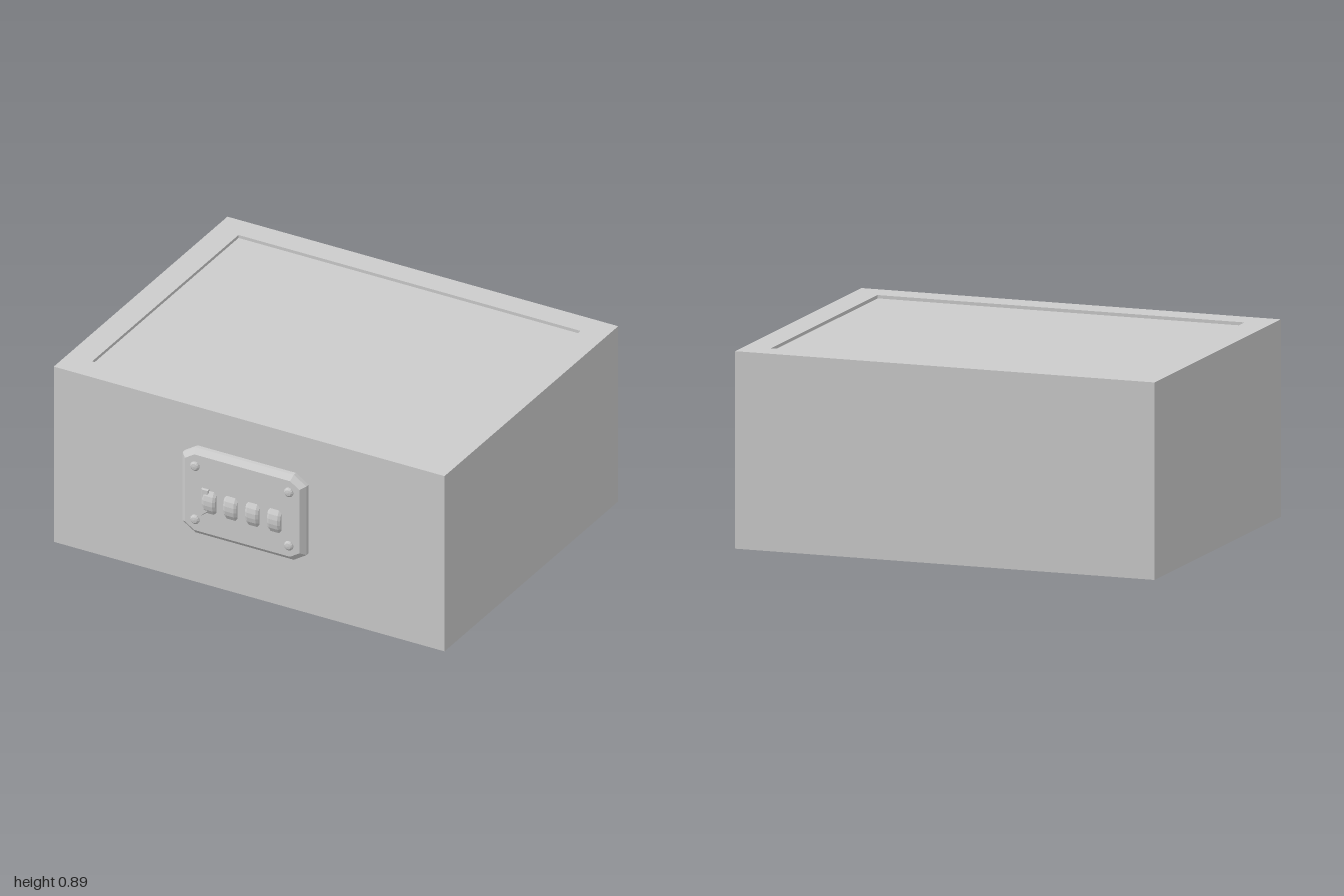
import * as THREE from 'three';

const material = new THREE.MeshStandardMaterial({ color: 0xcccccc, flatShading: true });

function add(parent, name, geometry, x = 0, y = 0, z = 0) {
  const mesh = new THREE.Mesh(geometry, material);
  mesh.name = name;
  mesh.position.set(x, y, z);
  parent.add(mesh);
  return mesh;
}

const polygon = (points) => new THREE.Shape(points.map(([x, y]) => new THREE.Vector2(x, y)));

// Extrusion whose chamfer eats inwards, so the outline keeps its size
function chamfered(points, depth, size, thickness) {
  return new THREE.ExtrudeGeometry(polygon(points), {
    depth: depth - 2 * thickness, bevelSegments: 1,
    bevelSize: size, bevelThickness: thickness, bevelOffset: -size,
  }).translate(0, 0, thickness);
}

export function createModel() {
  const model = new THREE.Group();
  const height = 0.895, lidDrop = 0.015;
  const back = -0.81, front = 0.75;

  // Case walls with the lid opening; shape y becomes -z once laid flat
  const walls = polygon([[-1, -front], [1, -front], [1, -back], [-1, -back]]);
  walls.holes.push(polygon([[-0.875, -0.625], [-0.875, 0.69], [0.875, 0.69], [0.875, -0.625]]));
  const wallGeometry = new THREE.ExtrudeGeometry(walls, { depth: height, bevelEnabled: false });
  add(model, 'caseWalls', wallGeometry.rotateX(-Math.PI / 2));

  // Recessed lid panel, solid down to the floor
  const panelHeight = height - lidDrop;
  add(model, 'lidPanel', new THREE.BoxGeometry(1.75, panelHeight, 1.315), 0, panelHeight / 2, -0.0325);

  // Lock plate with cut corners and chamfered rim, its back sunk into the case
  const lock = new THREE.Group();
  lock.name = 'combinationLock';
  lock.position.set(-0.012, 0.482, 0.792);
  model.add(lock);
  const w = 0.317, h = 0.217, cx = 0.065, cy = 0.042;
  const outline = [
    [w - cx, -h], [w, -h + cy], [w, h - cy], [w - cx, h],
    [-w + cx, h], [-w, h - cy], [-w, -h + cy], [-w + cx, -h],
  ];
  add(lock, 'lockPlate', chamfered(outline, 0.1, 0.024, 0.022), 0, 0, -0.1);

  // Corner screws with domed heads
  for (const x of [-0.24, 0.24]) {
    for (const y of [-0.136, 0.136]) {
      const head = new THREE.LatheGeometry([
        new THREE.Vector2(0.023, -0.004), new THREE.Vector2(0.023, 0.006),
        new THREE.Vector2(0.015, 0.012), new THREE.Vector2(0, 0.014),
      ], 12).rotateX(Math.PI / 2);
      add(lock, 'screw', head, x, y, 0);
    }
  }

  // Number wheels: faceted arc profile (z, y) swept across the wheel's width
  const arc = [[-0.02, -0.058], [0, -0.058], [0.013, -0.035], [0.018, -0.012],
    [0.018, 0.012], [0.013, 0.035], [0, 0.058], [-0.02, 0.058]];
  const width = 0.068;
  [-0.166, -0.057, 0.055, 0.167].forEach((x) => {
    const wheel = chamfered(arc, width, 0.007, 0.012);
    wheel.translate(0, 0, -width / 2).rotateY(-Math.PI / 2).scale(1, 1, 1);
    // The sweep's x axis now points along +z
    add(lock, 'numberWheel', wheel, x, -0.03, 0);
  });

  // Release catch beside the first wheel
  const catchOutline = [[-0.02, -0.075], [0.016, -0.045], [0.016, 0.065], [-0.02, 0.065]];
  add(lock, 'releaseCatch', chamfered(catchOutline, 0.02, 0.004, 0.004), -0.184, -0.03, -0.01);

  return model;
}
